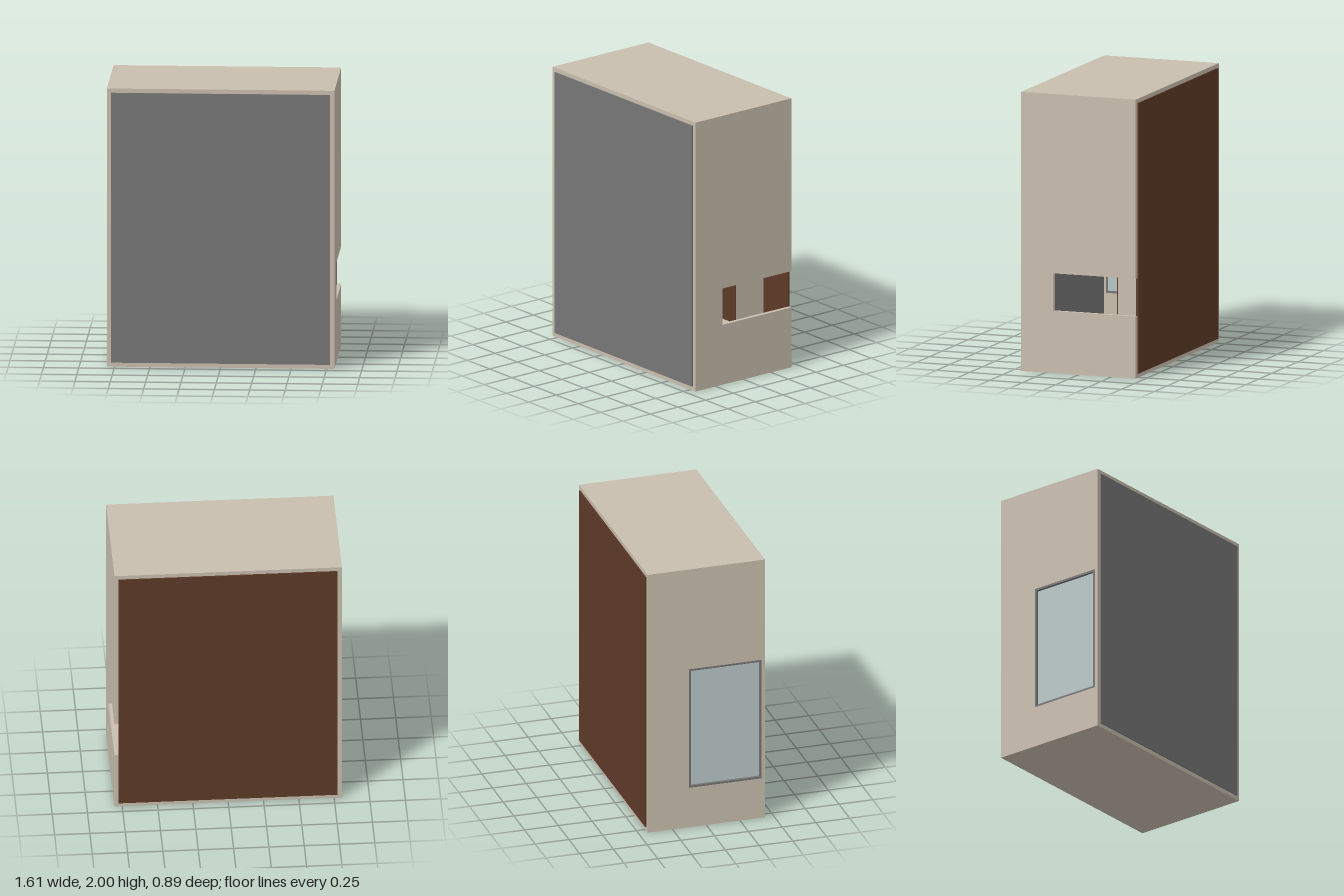
import * as THREE from 'three';

const mat = (name, color) => {
  const m = new THREE.MeshStandardMaterial({ color });
  m.name = name;
  return m;
};

export function createModel() {
  const plaster = mat('beige plaster', 0xc9beae);
  const grey = mat('grey panel', 0x767676);
  const wood = mat('brown wood', 0x5d3a28);
  const glass = mat('pale glass', 0xbac8c8);

  const model = new THREE.Group();
  model.name = 'roomBox';

  // Box between two corners
  const box = (name, material, [x0, x1], [y0, y1], [z0, z1], parent = model) => {
    const mesh = new THREE.Mesh(new THREE.BoxGeometry(x1 - x0, y1 - y0, z1 - z0), material);
    mesh.position.set((x0 + x1) / 2, (y0 + y1) / 2, (z0 + z1) / 2);
    mesh.name = name;
    parent.add(mesh);
  };

  const X = 0.805, Z = 0.435, T = 0.03;

  // Side wall with a rectangular opening, drawn in (z, y) and extruded along x
  const sideWall = (name, x, outline, opening) => {
    const shape = new THREE.Shape(outline.map(([z, y]) => new THREE.Vector2(-z, y)));
    if (opening) shape.holes.push(new THREE.Path(opening.map(([z, y]) => new THREE.Vector2(-z, y))));
    const geo = new THREE.ExtrudeGeometry(shape, { depth: T, bevelEnabled: false });
    geo.rotateY(Math.PI / 2);
    const mesh = new THREE.Mesh(geo, plaster);
    mesh.position.x = x;
    mesh.name = name;
    model.add(mesh);
  };

  // Left wall with the doorway open to the back edge
  sideWall('doorWall', X - T, [
    [Z, 0], [-Z, 0], [-Z, 0.445], [0.19, 0.445], [0.19, 0.715], [-Z, 0.715], [-Z, 2], [Z, 2],
  ]);

  // Right wall with the window opening
  const wz = [-0.13, 0.41], wy = [0.305, 1.225];
  sideWall('windowWall', -X, [[Z, 0], [-Z, 0], [-Z, 2], [Z, 2]],
    [[wz[0], wy[0]], [wz[1], wy[0]], [wz[1], wy[1]], [wz[0], wy[1]]]);

  // End walls
  box('bottomWall', plaster, [-X + T, X - T], [0, T], [-Z, Z]);
  box('topWall', plaster, [-X + T, X - T], [2 - T, 2], [-Z, Z]);

  // Large front and back panels, standing slightly proud
  box('frontPanel', grey, [-X + T, X - T], [T, 2 - T], [0.427, 0.443]);
  box('backPanel', wood, [-X + T, X - T], [T, 2 - T], [-0.443, -0.427]);

  // Window frame and recessed glass
  const windowGroup = new THREE.Group();
  windowGroup.name = 'window';
  model.add(windowGroup);
  const f = 0.015, wx = [-X + 0.001, -X + T + 0.004];
  for (const [a, b] of [[wz[0], wz[0] + f], [wz[1] - f, wz[1]]])
    box('frameUpright', grey, wx, wy, [a, b], windowGroup);
  for (const [a, b] of [[wy[0], wy[0] + f], [wy[1] - f, wy[1]]])
    box('frameRail', grey, wx, [a, b], [wz[0] + f, wz[1] - f], windowGroup);
  box('glassPane', glass, [-X + 0.02, -X + 0.028],
    [wy[0] + f, wy[1] - f], [wz[0] + f, wz[1] - f], windowGroup);

  // Interior partition beside the doorway
  box('partition', plaster, [0.3, X - T], [0.27, 0.3], [-0.427, 0.427]);

  // Low cabinet with a wooden top
  box('cabinet', plaster, [-0.2, 0.5], [0.3, 0.76], [-0.427, -0.18]);
  box('cabinetTop', wood, [-0.2, 0.5], [0.3, 0.76], [-0.18, -0.172]);

  return model;
}
